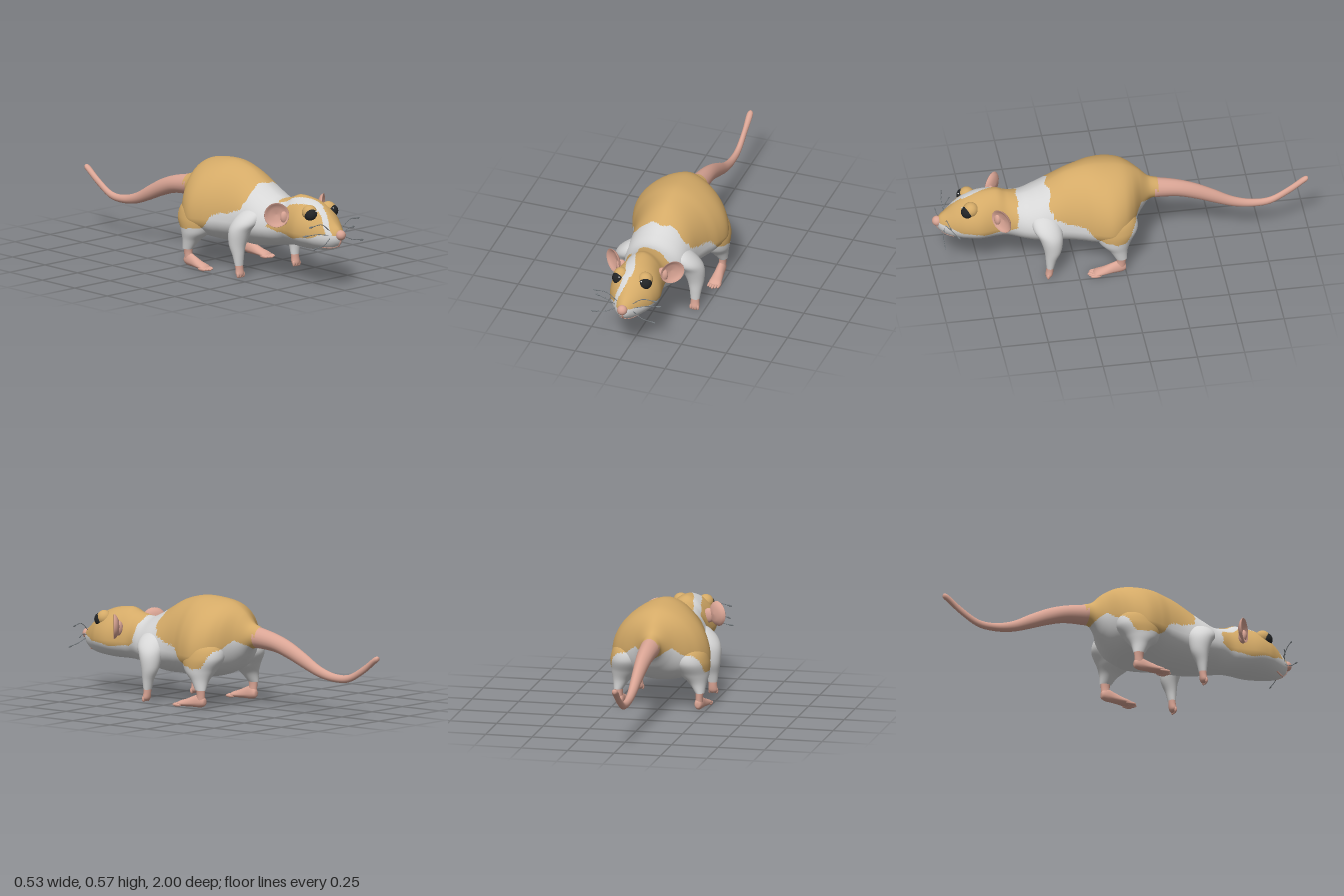
import * as THREE from 'three';

const mat = (name, color, side = THREE.FrontSide) => {
  const m = new THREE.MeshStandardMaterial({ color, side });
  m.name = name;
  return m;
};

// Smooth interpolation through rows of numbers, t in row units
function sample(rows, t) {
  const n = rows.length - 1, i = Math.min(Math.floor(t), n - 1), f = t - i;
  const [a, b, c, d] = [Math.max(i - 1, 0), i, i + 1, Math.min(i + 2, n)].map(k => rows[k]);
  return b.map((p1, k) => {
    const m1 = (c[k] - a[k]) / 2, m2 = (d[k] - p1) / 2, e = c[k] - p1;
    return p1 + f * (m1 + f * (3 * e - 2 * m1 - m2 + f * (m1 + m2 - 2 * e)));
  });
}

// Straight-line lookup in a table of [position, value]
function lookup(table, v) {
  if (v <= table[0][0]) return table[0][1];
  for (let i = 1; i < table.length; i++) {
    const [a, va] = table[i - 1], [b, vb] = table[i];
    if (v <= b) return va + (vb - va) * (v - a) / (b - a);
  }
  return table[table.length - 1][1];
}

// Skin closed rings over the rows
function loft(rows, ring, around, steps) {
  const pos = [], idx = [], count = (rows.length - 1) * steps;
  for (let i = 0; i <= count; i++) {
    const v = sample(rows, i / steps);
    for (let j = 0; j < around; j++) {
      const a = j / around * Math.PI * 2;
      pos.push(...ring(v, Math.cos(a), Math.sin(a)));
      if (i < count) {
        const k = (j + 1) % around, p = i * around, q = p + around;
        idx.push(p + j, p + k, q + j, p + k, q + k, q + j);
      }
    }
  }
  const g = new THREE.BufferGeometry();
  g.setAttribute('position', new THREE.Float32BufferAttribute(pos, 3));
  g.setIndex(idx);
  g.computeVertexNormals();
  return g;
}

// Rings facing z: [z, top, bottom, halfWidth, widestY, centreX]; rings facing y: [y, x, z, radiusX, radiusZ]
const zRing = ([z, top, bot, w, mid, cx = 0], c, s) =>
  [cx + w * Math.sign(c) * Math.abs(c) ** 1.15, mid + s * (s > 0 ? top - mid : mid - bot), z];
const yRing = ([y, x, z, rx, rz], c, s) => [x + rx * c, y, z + rz * s];

function mirrored(geo, s) {
  const g = geo.clone();
  if (s > 0) return g;
  g.scale(-1, 1, 1);
  const a = g.index.array;
  for (let i = 0; i < a.length; i += 3) [a[i], a[i + 1]] = [a[i + 1], a[i]];
  return g;
}

// Coat pattern: tan rump and mask, pale stripe on the forehead
const rumpEdge = [[-.2, .2], [-.15, .33], [-.1, .36], [-.05, .3], [0, .225], [.05, .22], [.13, .23],
  [.17, .25], [.2, .3], [.3, .33], [.36, .35], [.4, .4]];
const maskEdge = [[.54, .3], [.6, .265], [.7, .26], [.85, .275], [.93, .3]];
const stripeX = [[.55, -.08], [.7, -.045], [.8, -.022], [.87, -.03], [.93, -.052]];
function isTan(x, y, z) {
  const wob = .008 * Math.sin(x * 60 + 1) + .006 * Math.sin(y * 75 + z * 40);
  if (z < .385 + wob) return y > lookup(rumpEdge, z) + wob * .6;
  if (z < .55 + wob) return false;
  if (Math.abs(x - lookup(stripeX, z) - wob * .4) < (z < .84 ? .023 : .015)) return false;
  return y > lookup(maskEdge, z) + wob * .6;
}

// Sort triangles into two material groups by the coat pattern
function paintCoat(g) {
  const p = g.attributes.position, src = g.index.array, tan = [], pale = [];
  for (let i = 0; i < src.length; i += 3) {
    const t = [src[i], src[i + 1], src[i + 2]];
    const mean = f => (p[f](t[0]) + p[f](t[1]) + p[f](t[2])) / 3;
    (isTan(mean('getX'), mean('getY'), mean('getZ')) ? tan : pale).push(...t);
  }
  g.setIndex([...tan, ...pale]);
  g.addGroup(0, tan.length, 0);
  g.addGroup(tan.length, pale.length, 1);
  return g;
}

const bodyRows = [
  [-.2, .43, .32, .05, .375], [-.15, .45, .31, .056, .375], [-.1, .5, .25, .1, .36],
  [-.05, .535, .2, .18, .33], [0, .555, .17, .235, .3], [.07, .566, .15, .262, .28],
  [.15, .57, .14, .242, .28], [.22, .56, .14, .21, .28], [.3, .535, .145, .185, .28],
  [.38, .49, .145, .175, .28], [.45, .45, .155, .17, .28], [.52, .425, .17, .15, .28],
  [.6, .44, .185, .116, .29], [.66, .463, .19, .118, .29], [.75, .455, .19, .134, .29],
  [.82, .432, .195, .122, .29], [.87, .4, .2, .097, .285], [.92, .355, .213, .064, .28],
  [.955, .325, .24, .036, .28], [.968, .3, .265, .012, .28], [.97, .28, .28, 0, .28]];
const tailRows = [
  [-1, .332, .332, 0, .332], [-.995, .344, .318, .012, .332], [-.97, .338, .3, .017, .32],
  [-.9, .288, .246, .014, .267], [-.8, .232, .192, .016, .212], [-.7, .229, .184, .019, .206],
  [-.6, .26, .2, .023, .23], [-.5, .318, .236, .029, .277], [-.4, .37, .277, .036, .323],
  [-.3, .405, .308, .044, .357], [-.18, .432, .318, .052, .375]];
const foreRows = [[.37, .12, .42, .01, .01], [.345, .13, .42, .05, .06], [.3, .155, .41, .07, .075],
  [.25, .183, .392, .062, .062], [.18, .197, .385, .046, .046], [.12, .2, .395, .032, .029], [.07, .199, .4, .025, .02]];
const pawRows = [[.08, .199, .4, .023, .018], [.05, .199, .402, .023, .019], [.025, .199, .406, .025, .019],
  [.012, .199, .408, .016, .012], [.01, .199, .408, 0, 0]];
const haunchRows = [[.38, .14, .06, .01, .01], [.34, .15, .055, .085, .1], [.27, .163, .05, .1, .12],
  [.2, .182, .055, .08, .088], [.15, .204, .04, .047, .05], [.1, .219, .026, .025, .03]];
const shankRows = [[.12, .217, .028, .024, .028], [.08, .216, .026, .019, .024], [.04, .214, .03, .02, .026]];
const footRows = [[0, .04, .04, 0, .04, .212], [.004, .06, .018, .016, .038, .212], [.03, .08, .008, .023, .036, .213],
  [.07, .068, .008, .025, .03, .215], [.12, .048, .007, .03, .023, .218], [.16, .035, .007, .032, .02, .22],
  [.178, .018, .016, .014, .017, .22]];

// Front surface of the head at a given x, y
function faceZ(x, y) {
  for (let t = bodyRows.length - 1; t > 12; t -= .02) {
    const [z, top, bot, w, mid] = sample(bodyRows, t);
    const s = Math.abs(y - mid) / (y > mid ? top - mid : mid - bot);
    if (s < 1 && Math.abs(x) < w * (1 - s * s) ** .575) return z;
  }
  return .8;
}
const onFace = (x, y, lift = 0) => new THREE.Vector3(x, y, faceZ(x, y) + lift);

export function createModel() {
  const root = new THREE.Group();
  const tan = mat('tan fur', 0xd4aa67), pale = mat('pale fur', 0xd6d6d6);
  const pink = mat('pink skin', 0xdaa595), dark = mat('eye black', 0x222426);
  const grey = mat('whisker grey', 0x767c80), shine = mat('eye shine', 0xffffff);
  const coat = [tan, pale];
  const add = (name, geo, material) => {
    const m = new THREE.Mesh(geo, material);
    m.name = name;
    root.add(m);
    return m;
  };
  const ball = (r, x, y, z, sx = 1, sy = 1, sz = 1) =>
    new THREE.SphereGeometry(r, 20, 14).scale(sx, sy, sz).translate(x, y, z);
  const tube = (pts, r) => new THREE.TubeGeometry(new THREE.CatmullRomCurve3(pts), 16, r, 6);

  // Body with head, and tail
  add('body', paintCoat(loft(bodyRows, zRing, 112, 11)), coat);
  add('tail', loft(tailRows, zRing, 20, 5), pink);

  // Nose, groove below it and mouth
  add('nose', ball(.027, 0, .295, .968), pink);
  add('noseGroove', tube([.275, .255, .235].map(y => onFace(0, y)), .005), pink);
  add('mouth', tube([[-.06, .228], [-.03, .224], [0, .232], [.03, .224], [.06, .228]]
    .map(([x, y]) => onFace(x, y)), .0035), pink);

  // Cupped ear turned outward
  const ear = new THREE.LatheGeometry([[0, -.014], [.035, -.011], [.056, 0], [.066, .013], [.064, .016],
    [.055, .009], [.035, -.001], [0, -.005]].map(p => new THREE.Vector2(...p)), 28)
    .rotateX(Math.PI / 2).rotateY(.69).translate(.157, .375, .643);
  const earRoot = ball(.03, .115, .36, .665, 1, 1.3, .7);

  const whiskers = [
    [[.042, .318], [.1, .36, .93], [.165, .355, .92]],
    [[.05, .296], [.11, .306, .91], [.17, .3, .88]],
    [[.048, .28], [.1, .255, .95], [.165, .243, .95]]];

  for (const s of [1, -1]) {
    const side = s > 0 ? 'left' : 'right';
    const pair = (name, geo, material) => add(side + name, mirrored(geo, s), material);

    // Head details
    pair('Ear', ear, pink);
    pair('EarRoot', earRoot, pink);
    pair('Brow', ball(.041, .067, .398, .8), tan);
    pair('Eye', ball(.035, .074, .39, .818), dark);
    pair('EyeShine', ball(.004, .062, .411, .845), shine);
    for (const [root2, mid, tip] of whiskers) {
      const end = new THREE.Vector3(...tip), bend = new THREE.Vector3(...mid);
      pair('Whisker', tube([onFace(...root2, -.005), bend, end], .002), grey);
      const leaf = new THREE.SphereGeometry(.005, 8, 6).scale(1, 3.2, .6);
      const dir = end.clone().sub(bend).normalize();
      leaf.applyQuaternion(new THREE.Quaternion().setFromUnitVectors(new THREE.Vector3(0, 1, 0), dir));
      pair('WhiskerTip', leaf.translate(...end.toArray()), grey);
    }

    // Front leg and paw
    pair('FrontLeg', loft(foreRows, yRing, 28, 5), pale);
    pair('FrontPaw', loft(pawRows, yRing, 20, 4), pink);
    for (let k = -1.5; k < 2; k++)
      pair('FrontToe', ball(.0075, .199 + k * .013, .02, .417 - Math.abs(k) * .003, 1, 2.1, 1.1), pink);

    // Hind leg and foot
    add(side + 'HindLeg', paintCoat(mirrored(loft(haunchRows, yRing, 64, 8), s)), coat);
    pair('HindShank', loft(shankRows, yRing, 20, 4), pink);
    pair('HindFoot', loft(footRows, zRing, 24, 4), pink);
    for (let k = -2; k <= 2; k++)
      pair('HindToe', ball(.009, .22 + k * .0135, .014, .178 - Math.abs(k) * .007, .9, 1, 3.2), pink);
  }
  return root;
}
